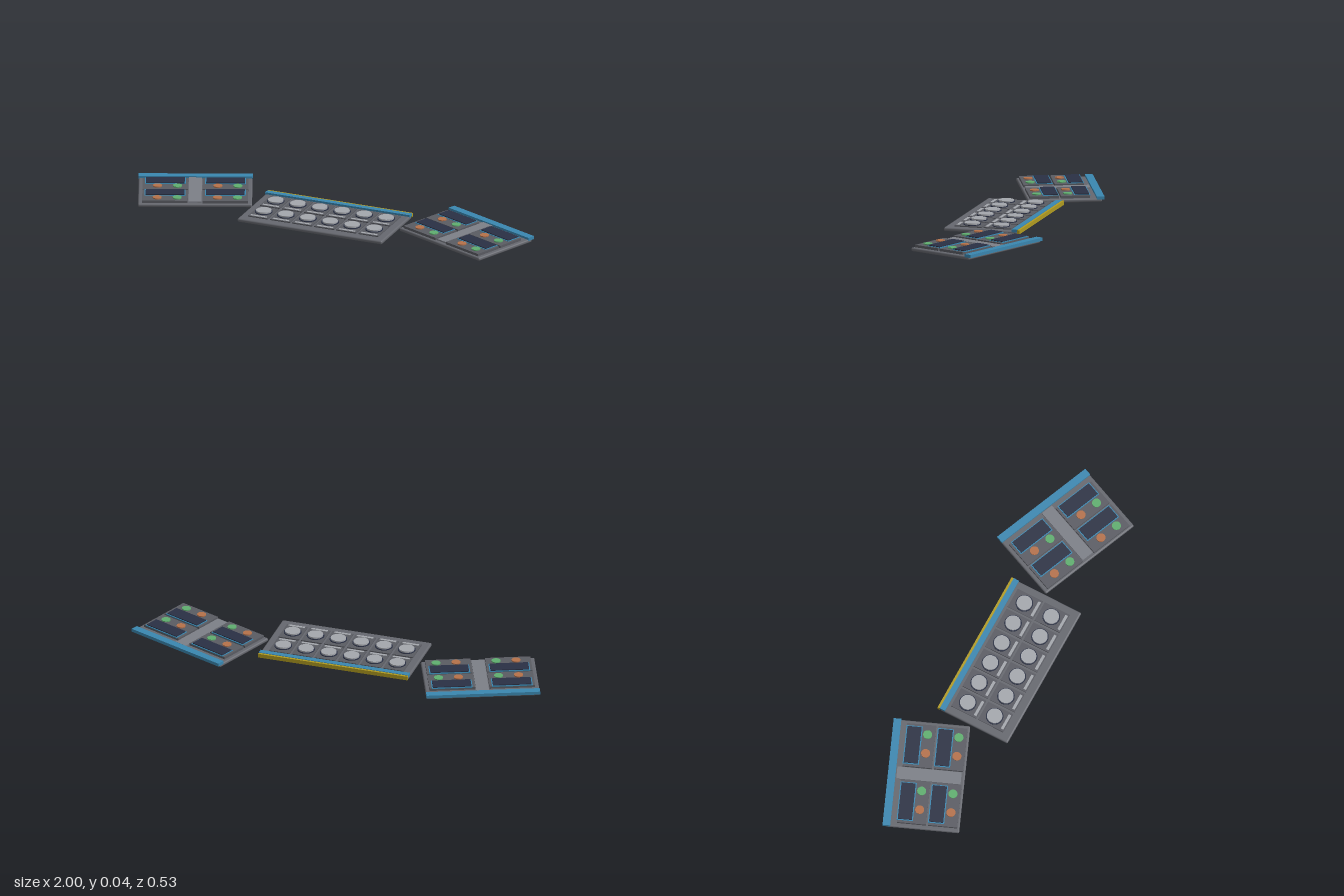
import * as THREE from 'three';
import { RoundedBoxGeometry } from 'three/addons/geometries/RoundedBoxGeometry.js';

const mat = (color) => new THREE.MeshStandardMaterial({ color });
const M = {
  base: mat(0x66686f), cell: mat(0x5a5c63), rail: mat(0x7c7f87), light: mat(0xa4a7ad),
  blue: mat(0x3a87b0), yellow: mat(0xb09a20), screen: mat(0x2a3044),
  orange: mat(0xb5714a), green: mat(0x5fae6f),
};

function add(parent, name, geometry, material, x, y, z) {
  const mesh = new THREE.Mesh(geometry, material);
  mesh.name = name;
  mesh.position.set(x, y, z);
  parent.add(mesh);
  return mesh;
}

// Box given by its centre in plan and its bottom and top heights
function box(parent, name, material, x, z, w, d, y0, y1) {
  return add(parent, name, new THREE.BoxGeometry(w, y1 - y0, d), material, x, (y0 + y1) / 2, z);
}

// Slab with rounded edges
function slab(parent, name, material, x, z, w, d, y0, y1) {
  const h = y1 - y0;
  return add(parent, name, new RoundedBoxGeometry(w, h, d, 3, h * 0.4), material, x, (y0 + y1) / 2, z);
}

function disc(parent, name, material, x, z, r, y0, y1) {
  return add(parent, name, new THREE.CylinderGeometry(r, r, y1 - y0, 32), material, x, (y0 + y1) / 2, z);
}

// Outer panel: four modules, each with a screen and two buttons
function sidePanel(name) {
  const g = new THREE.Group();
  g.name = name;
  slab(g, 'base', M.base, 0, 0.006, 0.53, 0.346, 0, 0.017);
  box(g, 'backStrip', M.blue, 0, -0.161, 0.53, 0.036, 0.012, 0.027);
  box(g, 'centreRail', M.rail, 0, 0.012, 0.06, 0.3, 0.016, 0.024);
  for (const x of [-0.14, 0.14]) {
    for (const z of [-0.046, 0.1]) {
      const cell = new THREE.Group();
      cell.name = 'screenModule';
      cell.position.set(x, 0, z);
      g.add(cell);
      box(cell, 'modulePlate', M.cell, 0, 0, 0.212, 0.136, 0.016, 0.029);
      box(cell, 'screenTrim', M.blue, 0, -0.032, 0.19, 0.076, 0.027, 0.031);
      box(cell, 'screen', M.screen, 0, -0.032, 0.18, 0.066, 0.03, 0.035);
      disc(cell, 'orangeButton', M.orange, -0.036, 0.032, 0.021, 0.028, 0.034);
      disc(cell, 'greenButton', M.green, 0.057, 0.032, 0.021, 0.028, 0.034);
    }
  }
  return g;
}

// Middle panel: two rows of six round keys with label bars
function middlePanel() {
  const g = new THREE.Group();
  g.name = 'middlePanel';
  slab(g, 'base', M.base, 0, 0.078, 0.73, 0.354, 0, 0.018);
  box(g, 'backStrip', M.blue, 0, -0.088, 0.73, 0.027, 0.014, 0.027);
  box(g, 'rearEdge', M.yellow, 0, -0.107, 0.73, 0.012, 0.006, 0.025);
  for (let i = 0; i < 6; i++) {
    for (const z of [0, 0.142]) {
      const cell = new THREE.Group();
      cell.name = 'keyModule';
      cell.position.set((i - 2.5) * 0.1115, 0, z);
      g.add(cell);
      box(cell, 'keyPlate', M.cell, 0, 0.005, 0.1, 0.132, 0.016, 0.023);
      disc(cell, 'keyRing', M.screen, 0, 0, 0.041, 0.021, 0.026);
      disc(cell, 'roundKey', M.light, 0, 0, 0.036, 0.024, 0.033);
      box(cell, 'labelBar', M.light, 0, 0.06, 0.08, 0.013, 0.021, 0.025);
    }
  }
  return g;
}

export function createModel() {
  const model = new THREE.Group();
  model.name = 'controlPanels';
  model.add(middlePanel());
  // Outer panels turn towards the middle
  for (const s of [-1, 1]) {
    const panel = sidePanel(s > 0 ? 'leftPanel' : 'rightPanel');
    panel.position.x = s * 0.685;
    panel.rotation.y = -s * Math.PI / 8;
    model.add(panel);
  }
  return model;
}
